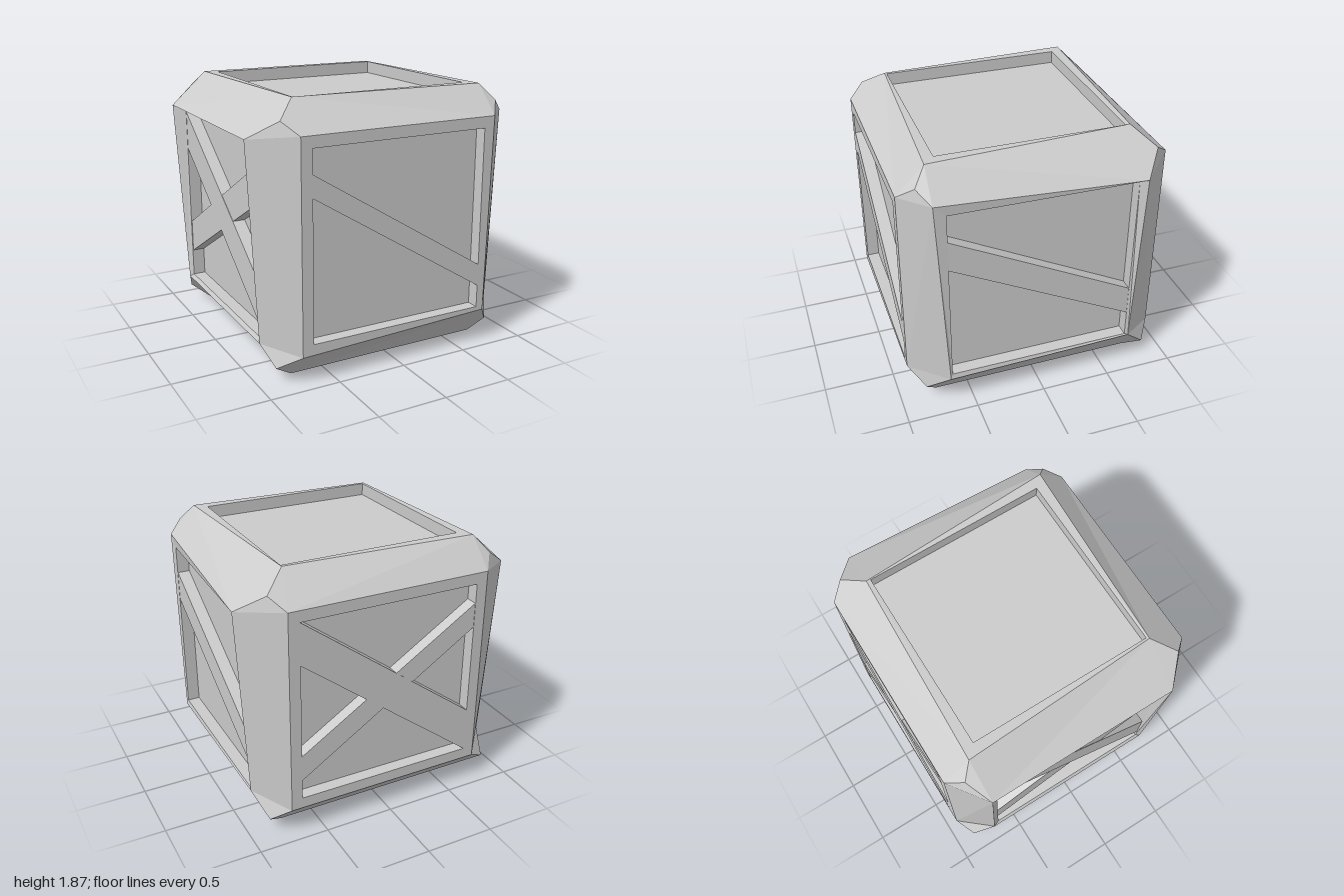
import * as THREE from 'three';

const MID = 0.935;      // half height
const DEPTH = 0.09;     // how far the panels sit below the rim
const OPEN = 0.655;     // half width of each opening
const RIM = [0.922, 0.932, 0.93]; // rim distance per axis (x, y, z)

// Hand-hewn irregularities: face corners that leave the regular chamfered cube.
// Key: face axis + signs of the corner in x, y, z.
const FACE_CORNERS = {
  '0++-': [1, 0.695, -0.68], '0+++': [0.925, 0.735, 0.74],
  '0+--': [0.93, -0.665, -0.68], '0+-+': [0.93, -0.695, 0.67],
  '0-+-': [-1, 0.695, -0.73], '0-++': [-1, 0.695, 0.67],
  '0---': [-0.94, -0.685, -0.7], '0--+': [-0.94, -0.685, 0.69],
  '1++-': [0.66, 0.935, -0.685], '1-++': [-0.67, 0.935, 0.67],
  '2+-+': [0.71, -0.685, 0.93],
};
const TIPS = {
  '--+': [-0.88, -0.825, 0.82], '---': [-0.88, -0.825, -0.86], '+--': [0.86, -0.825, -0.84],
};

const key = s => s.map(v => (v > 0 ? '+' : '-')).join('');
const vec = a => new THREE.Vector3(...a);

// Corner of a face (axis a) at the signed corner s
function faceCorner(a, s) {
  const p = FACE_CORNERS[a + key(s)];
  return vec(p || s.map((v, i) => v * (i === a ? RIM[a] : 0.735)));
}
// Point where three chamfers meet
const tip = s => vec(TIPS[key(s)] || s.map(v => v * 0.82));

// Collects triangles, each turned to face along dir
function surface() {
  const pos = [];
  const tri = (a, b, c, dir) => {
    const n = b.clone().sub(a).cross(c.clone().sub(a));
    const order = n.dot(dir) >= 0 ? [a, b, c] : [a, c, b];
    order.forEach(p => pos.push(p.x, p.y, p.z));
  };
  const quad = (a, b, c, d, dir) => { tri(a, b, c, dir); tri(a, c, d, dir); };
  const build = () => {
    const g = new THREE.BufferGeometry();
    g.setAttribute('position', new THREE.Float32BufferAttribute(pos, 3));
    g.computeVertexNormals();
    return g;
  };
  return { tri, quad, build };
}

export function createModel() {
  const crate = new THREE.Group();
  crate.name = 'crate';
  const body = new THREE.Group();
  body.position.y = MID;
  crate.add(body);
  const material = new THREE.MeshStandardMaterial({ color: 0xcccccc, flatShading: true });
  const add = (geometry, name) => {
    const mesh = new THREE.Mesh(geometry, material);
    mesh.name = name;
    body.add(mesh);
    return mesh;
  };

  // Chamfered beams along the twelve edges
  const beams = surface();
  for (let c = 0; c < 3; c++) {
    const a = (c + 1) % 3, b = (c + 2) % 3;
    for (const sa of [-1, 1]) for (const sb of [-1, 1]) {
      const ends = [-1, 1].map(sc => {
        const s = [0, 0, 0];
        s[a] = sa; s[b] = sb; s[c] = sc;
        return { pa: faceCorner(a, s), pb: faceCorner(b, s), t: tip(s) };
      });
      const out = new THREE.Vector3().setComponent(a, sa).setComponent(b, sb);
      const [e, f] = ends;
      beams.quad(e.pa, f.pa, f.pb, e.pb, out);
      for (const k of ends) beams.tri(k.pa, k.t, k.pb, out);
    }
  }
  add(beams.build(), 'edgeBeams');

  // Rim, recess walls and sunken panel on each of the six faces
  const names = [['rightHand', 'leftHand'], ['bottom', 'top'], ['back', 'front']];
  for (let a = 0; a < 3; a++) for (const side of [-1, 1]) {
    const b = (a + 1) % 3, c = (a + 2) % 3;
    const out = new THREE.Vector3().setComponent(a, side);
    const loop = [[-1, -1], [1, -1], [1, 1], [-1, 1]].map(([u, v]) => {
      const s = [0, 0, 0];
      s[a] = side; s[b] = u; s[c] = v;
      const rim = vec(s).multiplyScalar(OPEN).setComponent(a, side * RIM[a]);
      const floor = rim.clone().addScaledVector(out, -DEPTH);
      return { outer: faceCorner(a, s), rim, floor };
    });
    const frame = surface(), panel = surface();
    loop.forEach((p, i) => {
      const q = loop[(i + 1) % 4];
      frame.quad(p.outer, q.outer, q.rim, p.rim, out);
      const inward = p.rim.clone().add(q.rim).multiplyScalar(-1).setComponent(a, 0);
      frame.quad(p.rim, q.rim, q.floor, p.floor, inward);
    });
    panel.quad(...loop.map(p => p.floor), out);
    const name = names[a][(side + 1) / 2];
    add(frame.build(), name + 'Rim');
    add(panel.build(), name + 'Panel');
  }

  // Diagonal braces: [lower, upper] heights at the left and right end of each bar
  const brace = (name, turn, rim, [l0, l1], [r0, r1]) => {
    const shape = new THREE.Shape([[-OPEN, l0], [OPEN, r0], [OPEN, r1], [-OPEN, l1]]
      .map(([u, y]) => new THREE.Vector2(u, y - MID)));
    const geometry = new THREE.ExtrudeGeometry(shape, { depth: DEPTH, bevelEnabled: false });
    geometry.translate(0, 0, rim - DEPTH);
    add(geometry, name).rotation.y = turn * Math.PI / 2;
  };
  brace('frontBrace', 0, 0.93, [1.27, 1.425], [0.445, 0.605]);
  brace('leftHandBrace', 1, 0.92, [1.17, 1.39], [0.48, 0.7]);
  brace('backBraceFalling', 2, 0.93, [1.29, 1.59], [0.28, 0.61]);
  brace('backBraceRising', 2, 0.927, [0.42, 0.61], [1.27, 1.45]);
  brace('rightHandBraceFalling', 3, 0.92, [1.3, 1.58], [0.37, 0.67]);
  brace('rightHandBraceRising', 3, 0.917, [0.48, 0.72], [1.2, 1.45]);

  return crate;
}
